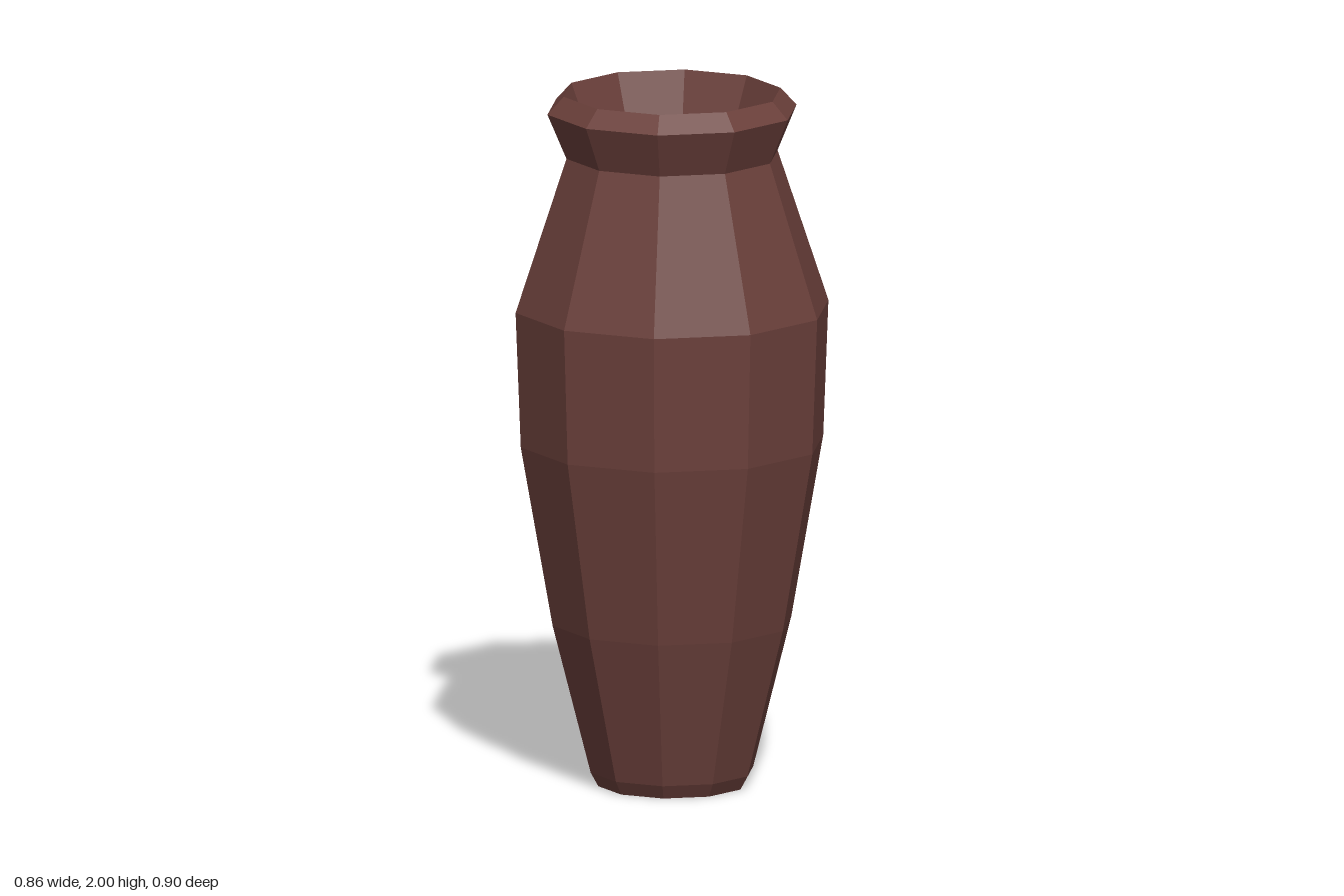
import * as THREE from 'three';

const SIDES = 10;

// Turned ten-sided surface from [radius, height] pairs, with a corner facing +z
function turned(name, profile, material) {
  const points = profile.map(([r, y]) => new THREE.Vector2(r, y));
  const mesh = new THREE.Mesh(new THREE.LatheGeometry(points, SIDES), material);
  mesh.name = name;
  return mesh;
}

export function createModel() {
  const vase = new THREE.Group();
  vase.name = 'vase';
  const clay = new THREE.MeshStandardMaterial({ color: 0x6b403b, flatShading: true });

  // Outer wall: base, foot bevel, belly, shoulder and neck
  vase.add(turned('body', [
    [0, 0], [0.213, 0], [0.235, 0.04], [0.345, 0.47],
    [0.437, 0.99], [0.452, 1.38], [0.305, 1.82],
  ], clay));

  // Flared lip, bevelled inwards and running down to the inside of the neck
  vase.add(turned('lip', [
    [0.305, 1.82], [0.36, 1.95], [0.313, 2], [0.245, 1.82],
  ], clay));

  // Hollow inside, from the neck down to the floor
  vase.add(turned('interior', [
    [0.245, 1.82], [0.395, 1.38], [0.38, 0.99], [0.29, 0.47], [0.185, 0.06], [0, 0.06],
  ], clay));

  return vase;
}
